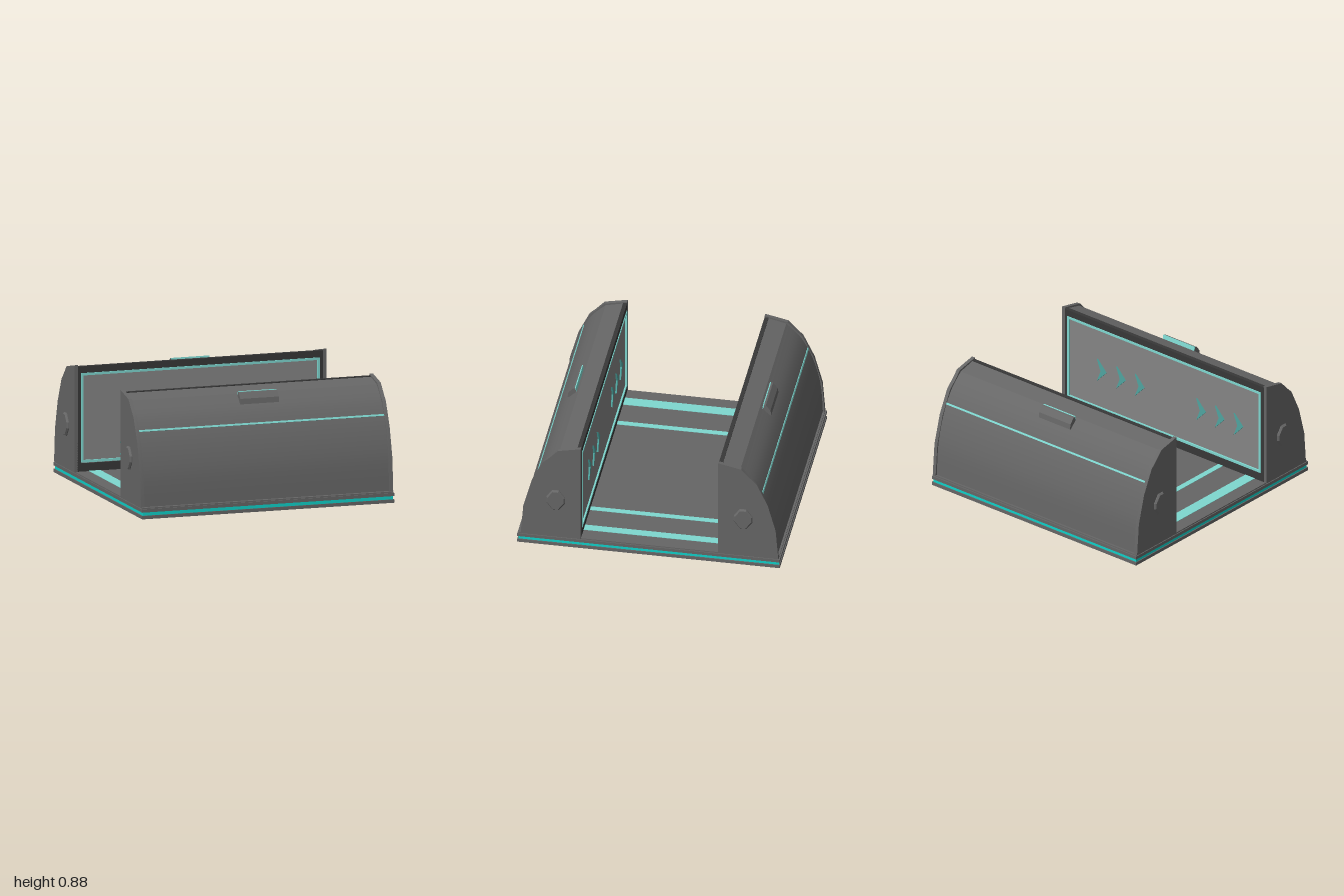
import * as THREE from 'three';
import { toCreasedNormals } from 'three/addons/utils/BufferGeometryUtils.js';

const mat = (color) => new THREE.MeshStandardMaterial({ color });
const shellMat = mat(0x666666), frameMat = mat(0x383838), panelMat = mat(0x858585);
const glowMat = mat(0x7fd8d0), baseGlowMat = mat(0x10d0c8), arrowMat = mat(0x4fa5a0);

function add(parent, name, geometry, material, x = 0, y = 0, z = 0) {
  const mesh = new THREE.Mesh(geometry, material);
  mesh.name = name;
  mesh.position.set(x, y, z);
  parent.add(mesh);
  return mesh;
}

function box(parent, name, material, w, y0, y1, d, x = 0, z = 0) {
  return add(parent, name, new THREE.BoxGeometry(w, y1 - y0, d), material, x, (y0 + y1) / 2, z);
}

const shapeOf = (points) => new THREE.Shape(points.map(([x, y]) => new THREE.Vector2(x, y)));

// Extrude a (z, y) section along x, centred on x = 0
function acrossX(points, width, crease = 0.45) {
  const g = new THREE.ExtrudeGeometry(shapeOf(points), { depth: width, bevelEnabled: false });
  g.translate(0, 0, -width / 2).rotateY(-Math.PI / 2);
  return toCreasedNormals(g, crease);
}

// Rectangular ring in the xy plane, given half widths and heights
function ring(w, y0, y1, border, bottom, top, depth) {
  const rect = (h, a, b) => [[-h, a], [h, a], [h, b], [-h, b]];
  const shape = shapeOf(rect(w, y0, y1));
  shape.holes.push(shapeOf(rect(w - border, y0 + bottom, y1 - top)));
  return new THREE.ExtrudeGeometry(shape, { depth, bevelEnabled: false });
}

function createShell(chevronY, chevronSize) {
  const shell = new THREE.Group();

  // Curved hood
  const curve = [[0.948, 0.08], [0.93, 0.33], [0.872, 0.55], [0.785, 0.72], [0.675, 0.832]];
  const hood = new THREE.SplineCurve(curve.map(([z, y]) => new THREE.Vector2(z, y)))
    .getPoints(20).map((p) => [p.x, p.y]);
  add(shell, 'hood', acrossX([[0.535, 0.08], ...hood, [0.535, 0.866]], 1.92), shellMat);

  // End caps, slightly larger than the hood
  const cap = [[0.513, 0.08], [0.962, 0.08], [0.942, 0.33], [0.882, 0.55], [0.797, 0.73],
    [0.75, 0.775], [0.685, 0.845], [0.513, 0.882]];
  const bolt = [[0.02, 0.075], [0.06, 0.02], [0.06, -0.02], [0.02, -0.075],
    [-0.02, -0.075], [-0.06, -0.02], [-0.06, 0.02], [-0.02, 0.075]];
  for (const side of [-1, 1]) {
    add(shell, 'endCap', acrossX(cap, 0.028), shellMat, side * 0.969);
    // Faceted bolt on the cap
    const g = new THREE.ExtrudeGeometry(shapeOf(bolt), {
      depth: 0.01, bevelThickness: 0.012, bevelSize: 0.01, bevelSegments: 1,
    });
    g.translate(0, 0, -0.005).rotateY(Math.PI / 2);
    add(shell, 'sideBolt', g, shellMat, side * 0.983, 0.41, 0.7);
  }

  // Light strip along the hood
  const strip = add(shell, 'hoodLight', new THREE.BoxGeometry(1.92, 0.014, 0.016), glowMat, 0, 0.63, 0.834);
  strip.rotation.x = -0.43;

  // Handle with a lit inner edge
  add(shell, 'handle', acrossX([[0.69, 0.81], [0.735, 0.76], [0.758, 0.765], [0.752, 0.805],
    [0.717, 0.846], [0.7, 0.848]], 0.3, 0.2), shellMat, 0.015);
  add(shell, 'handleLight', acrossX([[0.69, 0.81], [0.7, 0.81], [0.704, 0.85], [0.696, 0.852]], 0.3, 0.2),
    glowMat, 0.015);

  // Inner frame, panel and light border
  add(shell, 'innerFrame', ring(0.957, 0.08, 0.87, 0.03, 0.065, 0.055, 0.03), frameMat, 0, 0, 0.513);
  box(shell, 'innerPanel', panelMat, 1.88, 0.13, 0.83, 0.02, 0, 0.53);
  add(shell, 'panelLight', ring(0.93, 0.15, 0.82, 0.018, 0.018, 0.018, 0.025), glowMat, 0, 0, 0.508);

  // Direction chevrons
  const s = chevronSize;
  const chevron = new THREE.ExtrudeGeometry(
    shapeOf([[-0.5 * s, 0], [0.45 * s, -s], [0.05 * s, 0], [0.45 * s, s]]),
    { depth: 0.02, bevelEnabled: false });
  for (const x of [0.605, 0.42, 0.24, -0.35, -0.53, -0.71]) {
    add(shell, 'chevron', chevron, arrowMat, x, chevronY, 0.508);
  }
  return shell;
}

export function createModel() {
  const model = new THREE.Group();
  model.name = 'twinShellPlatform';

  // Layered base with a light band
  box(model, 'baseBottom', shellMat, 1.965, 0, 0.025, 1.96);
  box(model, 'baseLight', baseGlowMat, 1.95, 0.025, 0.05, 1.945);
  box(model, 'baseTop', shellMat, 1.965, 0.05, 0.074, 1.96);
  box(model, 'floor', shellMat, 1.95, 0.074, 0.083, 1.94);

  // Floor light strips
  for (const [x0, x1] of [[-0.87, -0.78], [-0.565, -0.52], [0.56, 0.605], [0.8, 0.865]]) {
    box(model, 'floorLight', glowMat, x1 - x0, 0.08, 0.086, 1.06, (x0 + x1) / 2, -0.008);
  }

  // Two facing shells
  const front = createShell(0.47, 0.09);
  front.name = 'frontShell';
  const back = createShell(0.24, 0.05);
  back.name = 'backShell';
  back.rotation.y = Math.PI;
  front.position.z = back.position.z = -0.0075;
  model.add(front, back);
  return model;
}
